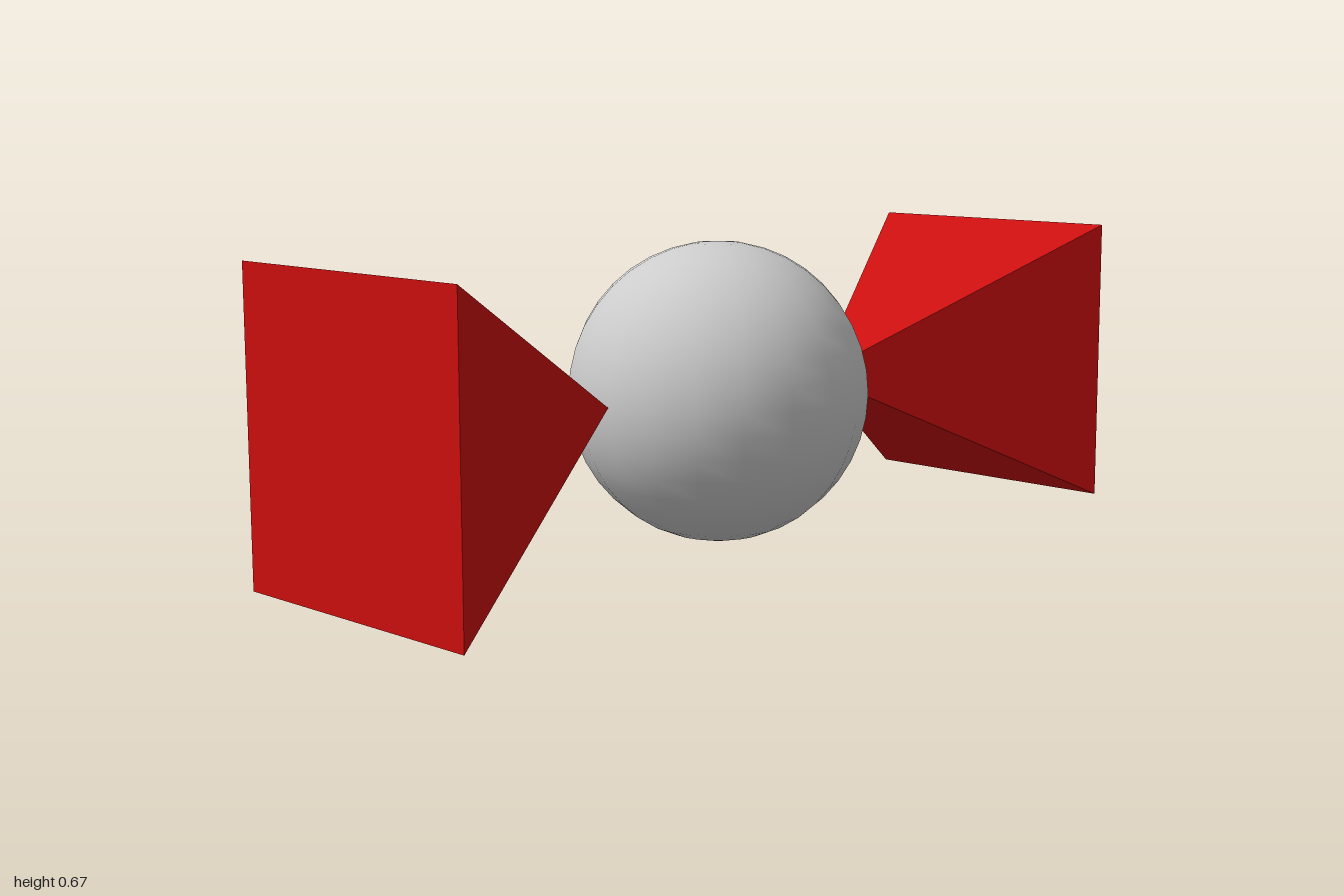
import * as THREE from 'three';

export function createModel() {
  const model = new THREE.Group();
  const R = 1 / 3;
  const grey = new THREE.MeshStandardMaterial({ color: 0xcccccc });
  const red = new THREE.MeshStandardMaterial({ color: 0xcc0f0f, flatShading: true });

  // Central ball
  const ball = new THREE.Mesh(new THREE.SphereGeometry(R, 20, 20), grey);
  ball.name = 'ball';
  ball.position.y = R;
  model.add(ball);

  // Square pyramids whose tips touch the ball at front and back
  const pyramid = new THREE.ConeGeometry(R * Math.SQRT2, 2 * R, 4, 1, false, Math.PI / 4);
  for (const [name, side] of [['frontPyramid', 1], ['backPyramid', -1]]) {
    const mesh = new THREE.Mesh(pyramid, red);
    mesh.name = name;
    mesh.rotation.x = -side * Math.PI / 2;
    mesh.position.set(0, R, side * 2 * R);
    model.add(mesh);
  }
  return model;
}
